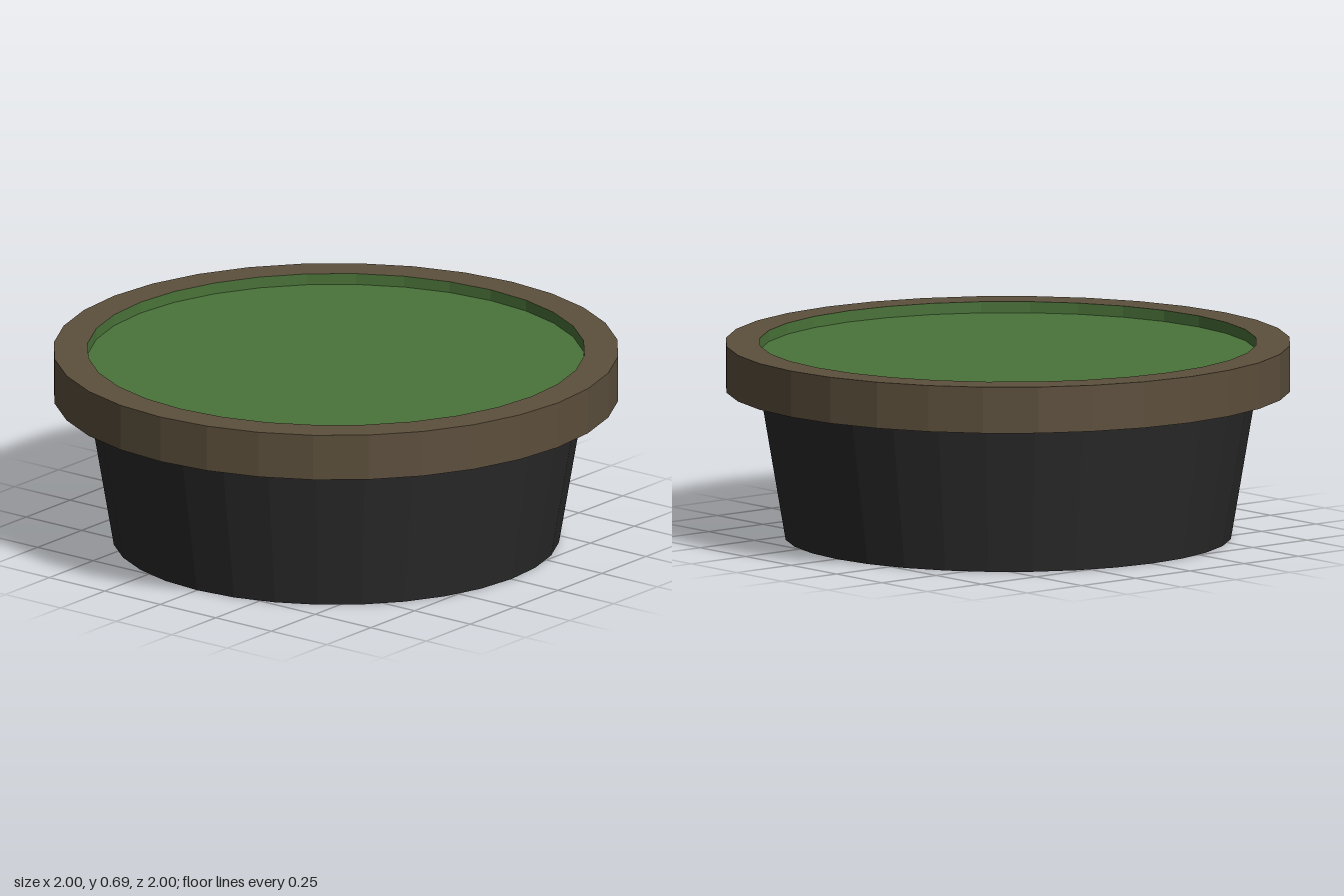
import * as THREE from 'three';

const SIDES = 32;

// Revolves a profile of [radius, height] points, listed from bottom outward, up and back in.
function turned(name, color, profile) {
  const points = profile.map(([r, y]) => new THREE.Vector2(r, y));
  const mesh = new THREE.Mesh(
    new THREE.LatheGeometry(points, SIDES),
    new THREE.MeshStandardMaterial({ color, flatShading: true })
  );
  mesh.name = name;
  return mesh;
}

export function createModel() {
  const group = new THREE.Group();
  group.name = 'roundTub';

  // Tapered base with a closed underside
  group.add(turned('base', 0x2a2a2a, [[0, 0], [0.79, 0], [0.88, 0.53]]));

  // Overhanging rim ring
  group.add(turned('rim', 0x5c4f3c, [[0.87, 0.53], [1, 0.53], [1, 0.695], [0.88, 0.695]]));

  // Shallow recess: short wall and flat floor
  group.add(turned('recessedTop', 0x4a7339, [[0.88, 0.695], [0.88, 0.655], [0, 0.655]]));

  return group;
}
